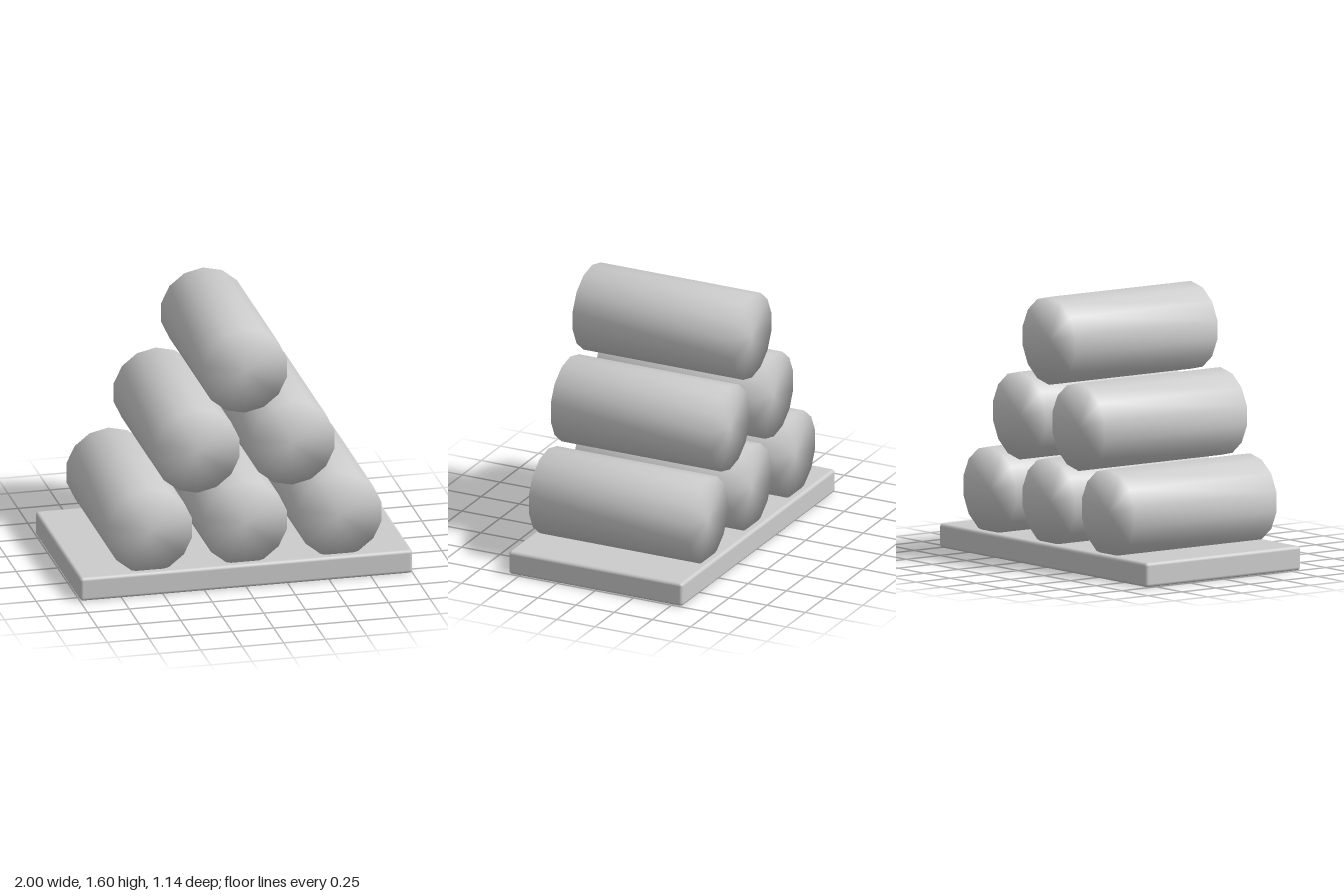
import * as THREE from 'three';
import { mergeVertices } from 'three/addons/utils/BufferGeometryUtils.js';
import { RoundedBoxGeometry } from 'three/addons/geometries/RoundedBoxGeometry.js';

export function createModel() {
  const model = new THREE.Group();
  model.name = 'logPile';
  const lightGrey = new THREE.MeshStandardMaterial({ color: 0xcccccc });
  lightGrey.name = 'lightGrey';

  // Flat base with softened edges
  const height = 0.145;
  const base = new THREE.Mesh(new RoundedBoxGeometry(2, height, 1.14, 2, 0.02), lightGrey);
  base.name = 'base';
  base.position.y = height / 2;
  model.add(base);

  // 14-sided log along z, with ends and side welded for soft shading
  let logGeometry = new THREE.CylinderGeometry(0.26, 0.26, 1.046, 14);
  logGeometry.rotateX(Math.PI / 2);
  logGeometry.deleteAttribute('uv');
  logGeometry.deleteAttribute('normal');
  logGeometry = mergeVertices(logGeometry, 1e-4);
  logGeometry.computeVertexNormals();

  // Pyramid of logs: three, two, one
  const logs = new THREE.Group();
  logs.name = 'logs';
  for (let row = 0; row < 3; row++) {
    const count = 3 - row;
    for (let i = 0; i < count; i++) {
      const log = new THREE.Mesh(logGeometry, lightGrey);
      log.name = `logRow${row + 1}Number${i + 1}`;
      log.position.set((i - (count - 1) / 2) * 0.57, 0.386 + row * 0.476, 0);
      logs.add(log);
    }
  }
  model.add(logs);
  return model;
}
